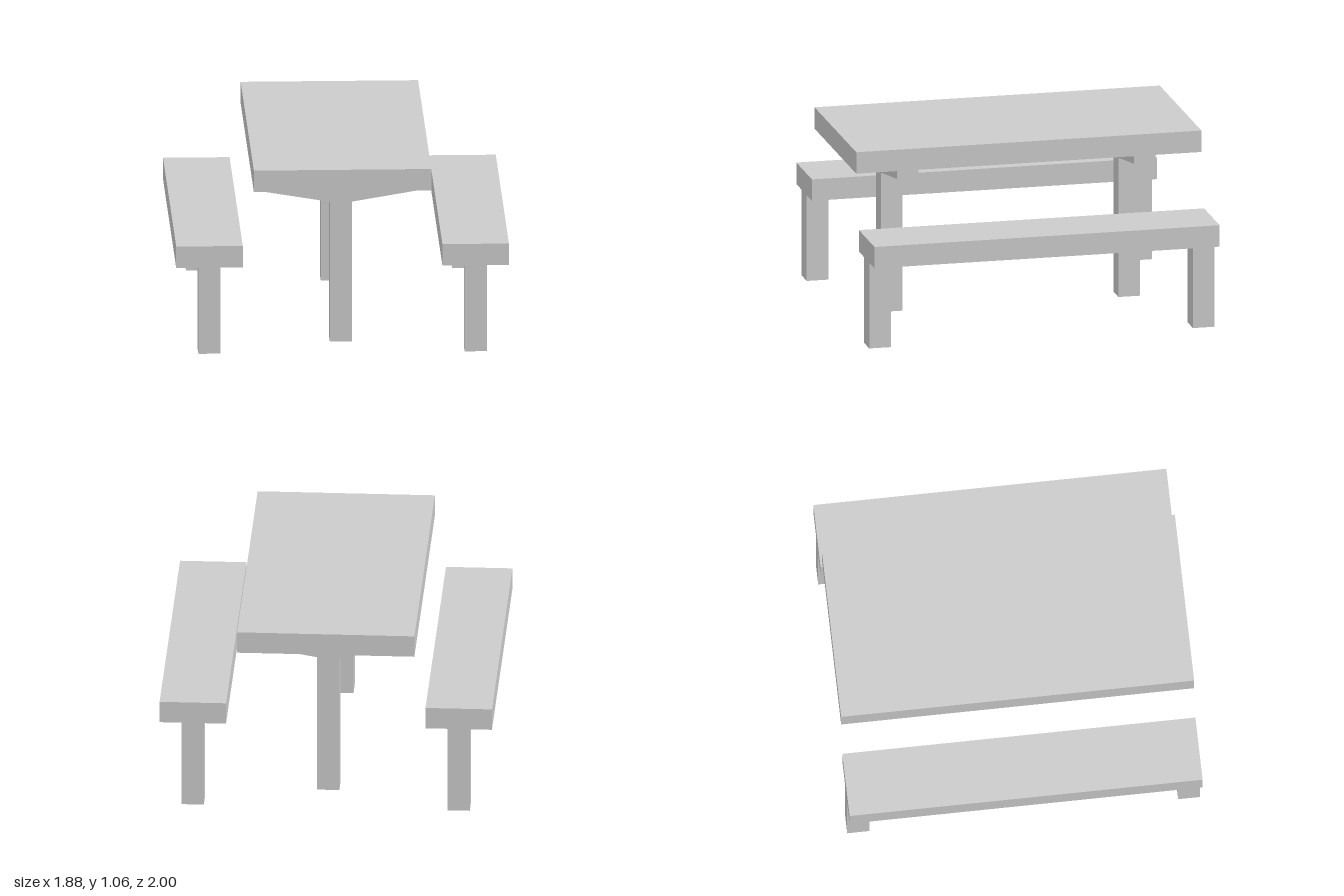
import * as THREE from 'three';

const U = 1 / 16; // plank module

export function createModel() {
  const group = new THREE.Group();
  const solid = new THREE.MeshStandardMaterial({ color: 0xcccccc, flatShading: true });
  const hollow = new THREE.MeshStandardMaterial({ color: 0xcccccc, flatShading: true, side: THREE.DoubleSide });

  const add = (name, geometry, material, x, y, z) => {
    const mesh = new THREE.Mesh(geometry, material);
    mesh.name = name;
    mesh.position.set(x, y, z);
    group.add(mesh);
  };

  // Square hollow post, open at the foot
  const post = (name, height, x, z) => {
    const g = new THREE.CylinderGeometry(U * Math.SQRT2, U * Math.SQRT2, height, 4, 1, true);
    add(name, g.rotateY(Math.PI / 4), hollow, x, height / 2, z);
  };

  // Table top
  add('tableTop', new THREE.BoxGeometry(16 * U, 2 * U, 2), solid, 0, 16 * U, 0);

  // Tapered bracket profile carrying the top
  const profile = new THREE.Shape([
    [-7, 15], [-7, 14], [-1, 13], [1, 13], [7, 14], [7, 15],
  ].map(([x, y]) => new THREE.Vector2(x * U, y * U)));
  const bracket = new THREE.ExtrudeGeometry(profile, { depth: 2 * U, bevelEnabled: false });
  bracket.translate(0, 0, -U);

  for (const end of [1, -1]) {
    const where = end > 0 ? 'Front' : 'Back';
    add('tableBracket' + where, bracket, solid, 0, 0, end * 11 * U);
    post('tableLeg' + where, 13 * U, 0, end * 11 * U);
  }

  // Benches on both sides
  for (const side of [1, -1]) {
    const name = side > 0 ? 'left' : 'right';
    const x = side * 12 * U;
    add(name + 'BenchSeat', new THREE.BoxGeometry(6 * U, 2 * U, 2), solid, x, 9 * U, 0);
    post(name + 'BenchLegFront', 8 * U, x, 15 * U);
    post(name + 'BenchLegBack', 8 * U, x, -15 * U);
  }

  return group;
}
